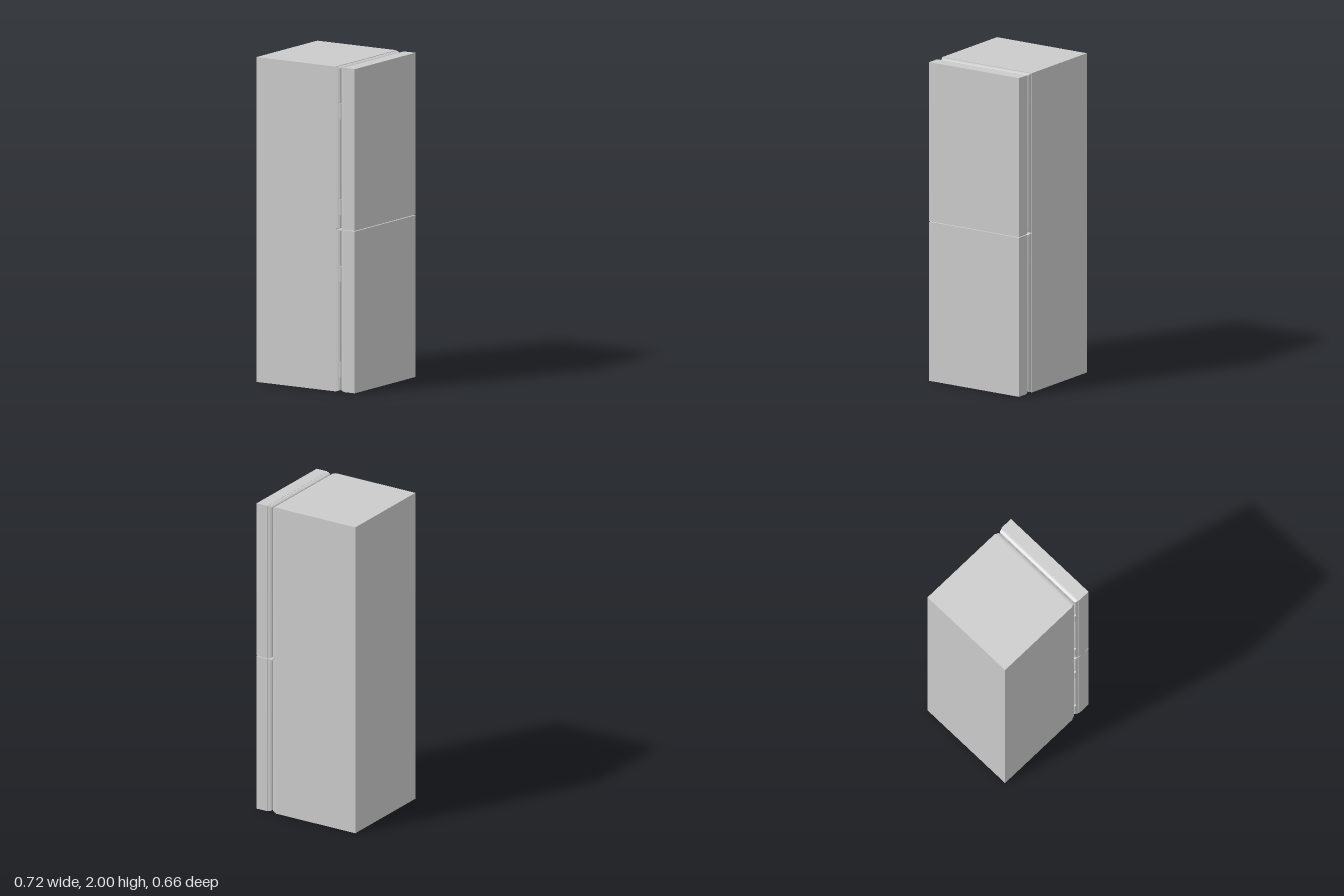
import * as THREE from 'three';
import { toCreasedNormals } from 'three/addons/utils/BufferGeometryUtils.js';

const material = new THREE.MeshStandardMaterial({ color: 0xcccccc });
const SEAM = 0.248; // x where the doors meet the cabinet
const DEPTH = 0.664;

function add(group, name, geometry, x, y, z = 0) {
  const mesh = new THREE.Mesh(geometry, material);
  mesh.name = name;
  mesh.position.set(x, y, z);
  group.add(mesh);
  return mesh;
}

// A slab, 0 to +x, whose edges curve inward in a quarter ellipse towards its +x face
function lipGeometry(length, height, depth, inset) {
  const geo = new THREE.BoxGeometry(1, height, depth, 10, 1, 1);
  const p = geo.attributes.position;
  for (let i = 0; i < p.count; i++) {
    const a = (p.getX(i) + 0.5) * Math.PI / 2;
    const shrink = inset * (1 - Math.cos(a));
    p.setXYZ(i, length * Math.sin(a),
      p.getY(i) - Math.sign(p.getY(i)) * shrink,
      p.getZ(i) - Math.sign(p.getZ(i)) * shrink);
  }
  return toCreasedNormals(geo, 0.7);
}

export function createModel() {
  const model = new THREE.Group();
  model.name = 'refrigerator';

  // Cabinet
  add(model, 'cabinet', new THREE.BoxGeometry(0.578, 2, DEPTH), -0.069, 1);

  const lip = lipGeometry(0.0275, 0.994, 0.656, 0.014);
  const hinge = new THREE.CylinderGeometry(0.008, 0.008, 0.095, 20);

  // Upper and lower compartments
  for (const [label, y] of [['lower', 0.5], ['upper', 1.5]]) {
    const part = new THREE.Group();
    part.name = label + 'Compartment';
    part.position.y = y;
    model.add(part);

    add(part, 'cabinetLip', lip, 0.22, 0);
    add(part, 'gasket', new THREE.BoxGeometry(0.006, 0.956, 0.62), SEAM, 0);
    add(part, 'door', new THREE.BoxGeometry(0.08, 0.996, DEPTH), 0.317, 0);
    add(part, 'doorLip', lip, 0.277, 0).rotation.y = Math.PI;

    // Hinge pins along the front seam
    for (const s of [-1, 1]) add(part, 'hinge', hinge, SEAM, s * 0.295 - 0.07, 0.322);
  }
  return model;
}
